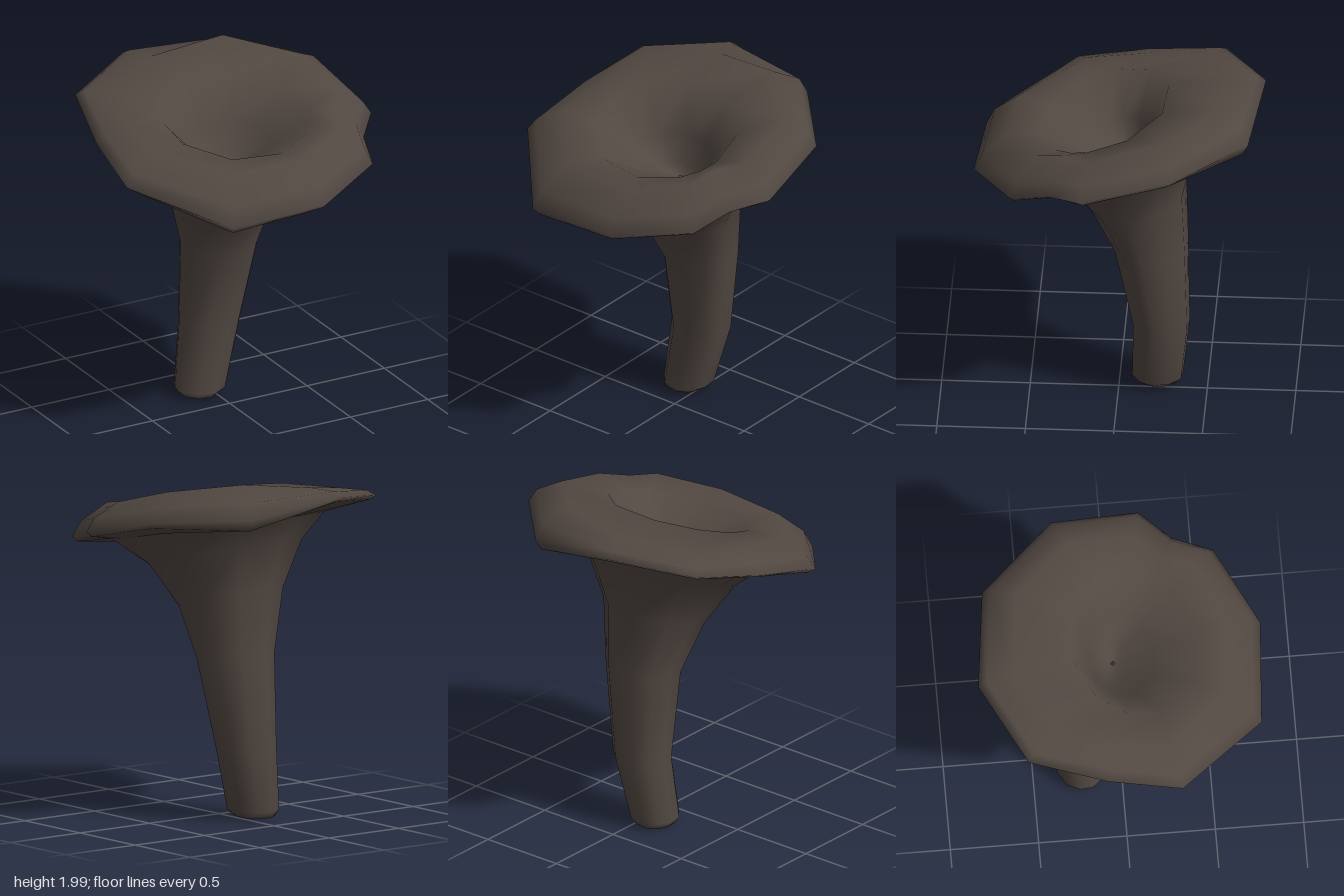
import * as THREE from 'three';

// Outer rim of the cap, walked from the back round by the left side:
// x, y, z, droop of the lip below the rim, swell of the crest above it
const RIM = [
  [-0.23, 1.9, -0.82, 0.02, 0.08], [0.36, 1.82, -0.75, 0.06, 0.2],
  [0.76, 1.79, -0.33, 0.03, 0.17], [0.82, 1.68, 0.17, 0.03, 0.15],
  [0.67, 1.63, 0.35, 0.02, 0.16], [0.6, 1.57, 0.58, 0.03, 0.17],
  [0.17, 1.5, 0.81, 0.04, 0.16], [-0.41, 1.46, 0.77, 0.05, 0.18],
  [-0.83, 1.62, 0.29, 0.03, 0.13], [-0.79, 1.72, -0.13, 0.02, 0.11],
  [-0.68, 1.83, -0.57, 0.02, 0.07],
];
const MID = 1.71;

// Ring that follows the rim, shrunk by s, raised by swell and lowered by droop
const rimRing = (s, swell, droop = 0) =>
  RIM.map(([x, y, z, d, p]) => [x * s, MID + (y - MID) * s + p * swell - d * droop, z * s]);

// Tilted oval ring given by its extents and its heights at front and back
const ovalRing = (x0, x1, zBack, zFront, yFront, yBack = yFront) =>
  RIM.map(([x, , z]) => {
    const a = Math.atan2(z, x);
    const t = (Math.sin(a) + 1) / 2;
    return [
      (x0 + x1) / 2 + (Math.cos(a) * (x1 - x0)) / 2,
      yBack + (yFront - yBack) * t,
      zBack + (zFront - zBack) * t,
    ];
  });

// Smooth skin through successive rings
function loft(rings) {
  const n = RIM.length;
  const index = [];
  for (let i = 0; i < rings.length - 1; i++) {
    for (let j = 0; j < n; j++) {
      const a = i * n + j;
      const b = i * n + ((j + 1) % n);
      index.push(a, a + n, b, b, a + n, b + n);
    }
  }
  const geometry = new THREE.BufferGeometry();
  geometry.setAttribute('position', new THREE.Float32BufferAttribute(rings.flat(2), 3));
  geometry.setIndex(index);
  geometry.computeVertexNormals();
  return geometry;
}

export function createModel() {
  const group = new THREE.Group();
  group.name = 'trumpetMushroom';
  const flesh = new THREE.MeshStandardMaterial({ color: 0x524842, side: THREE.DoubleSide });
  flesh.name = 'darkBrownFlesh';

  const add = (name, rings) => {
    const mesh = new THREE.Mesh(loft(rings), flesh);
    mesh.name = name;
    group.add(mesh);
  };

  const flare = ovalRing(-0.62, 0.62, -0.56, 0.58, 1.53, 1.77);

  // Bent stem flaring out towards the cap
  add('stem', [
    ovalRing(-0.09, -0.07, -0.22, -0.2, 0),
    ovalRing(-0.19, 0.02, -0.34, -0.1, 0.01),
    ovalRing(-0.22, 0.075, -0.365, -0.07, 0.05),
    ovalRing(-0.18, 0.175, -0.405, -0.08, 0.42),
    ovalRing(-0.195, 0.26, -0.4, 0.02, 0.92, 0.96),
    ovalRing(-0.3, 0.32, -0.39, 0.15, 1.18, 1.34),
    ovalRing(-0.45, 0.46, -0.46, 0.33, 1.4, 1.62),
    flare,
  ]);

  // Underside, thin rim, swollen crest and off-centre funnel
  add('cap', [
    flare,
    rimRing(0.96, 0, 1),
    rimRing(1, 0),
    rimRing(0.94, 0.5),
    rimRing(0.76, 1),
    ovalRing(-0.44, 0.43, -0.29, 0.45, 1.69, 1.92),
    ovalRing(-0.25, 0.25, -0.18, 0.2, 1.56, 1.66),
    ovalRing(-0.13, 0.13, -0.12, 0.04, 1.48, 1.5),
    ovalRing(0, 0.02, -0.05, -0.03, 1.46),
  ]);

  return group;
}
